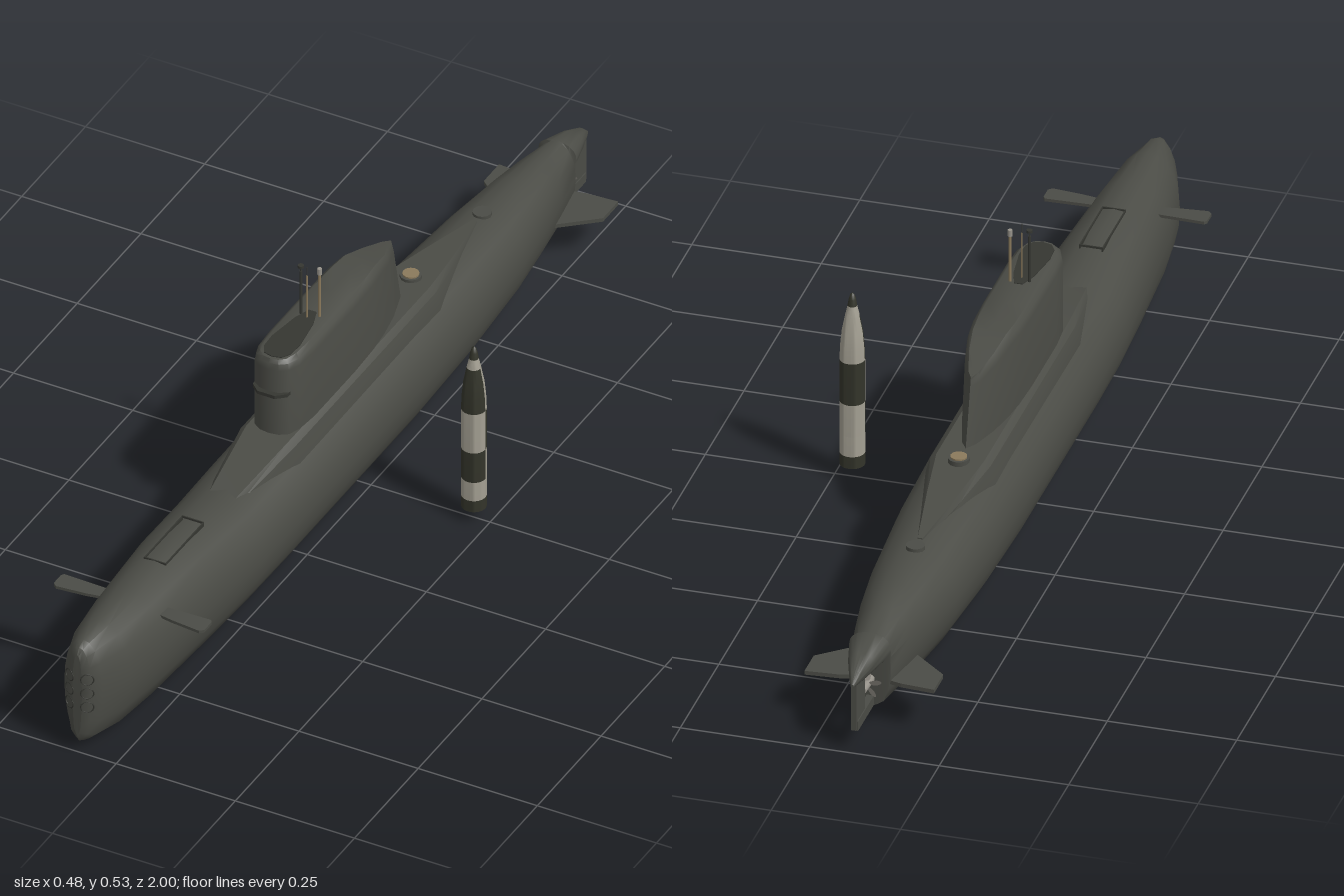
import * as THREE from 'three';
import { toCreasedNormals } from 'three/addons/utils/BufferGeometryUtils.js';

const mat = (name, color, side = THREE.FrontSide) => {
  const m = new THREE.MeshStandardMaterial({ color, side });
  m.name = name;
  return m;
};
const V = (x, y, z) => new THREE.Vector3(x, y, z);

// Closes a half outline by mirroring it in x; the end points lie on the centre line
const mirrorRing = (half) => [...half, ...half.slice(1, -1).reverse().map((p) => V(-p.x, p.y, p.z))];

// Skins a list of equal rings, closes both ends and turns the faces outward
function loft(rings, crease = 0.7) {
  const n = rings[0].length, pts = rings.flat(), idx = [];
  for (let r = 0; r < rings.length - 1; r++)
    for (let i = 0; i < n; i++) {
      const a = r * n + i, b = r * n + (i + 1) % n;
      idx.push(a, b, b + n, a, b + n, a + n);
    }
  [0, rings.length - 1].forEach((r, end) => {
    const c = rings[r].reduce((s, p) => s.add(p), V(0, 0, 0)).divideScalar(n);
    pts.push(c);
    for (let i = 0; i < n; i++) {
      const a = r * n + i, b = r * n + (i + 1) % n;
      idx.push(pts.length - 1, end ? a : b, end ? b : a);
    }
  });
  let volume = 0;
  for (let i = 0; i < idx.length; i += 3)
    volume += pts[idx[i]].dot(V(0, 0, 0).crossVectors(pts[idx[i + 1]], pts[idx[i + 2]]));
  if (volume < 0) idx.reverse();
  const g = new THREE.BufferGeometry().setFromPoints(pts);
  g.setIndex(idx);
  return toCreasedNormals(g, crease);
}

// Flat plate drawn in (x, z), centred on height y
function plate(outline, y, thick) {
  const s = new THREE.Shape(outline.map(([x, z]) => new THREE.Vector2(x, -z)));
  const g = new THREE.ExtrudeGeometry(s, { depth: thick, bevelEnabled: false });
  return g.rotateX(-Math.PI / 2).translate(0, y - thick / 2, 0);
}

export function createModel() {
  const hullGrey = mat('hull grey', 0x4b4c46);
  const darkGrey = mat('dark grey', 0x353631);
  const bronze = mat('bronze', 0x8b7a5c);
  const metal = mat('propeller metal', 0x96928a, THREE.DoubleSide);
  const paleBand = mat('missile pale', 0xa39f92);
  const darkBand = mat('missile dark', 0x33342a);

  const model = new THREE.Group();
  const sub = new THREE.Group();
  sub.name = 'submarine';
  sub.position.x = -0.082;
  model.add(sub);
  const add = (name, geo, material, parent = sub) => {
    const m = new THREE.Mesh(geo, material);
    m.name = name;
    parent.add(m);
    return m;
  };

  // Hull: stations of [z, half width, bottom, top]
  const section = [[0, 0], [0.33, 0.04], [0.65, 0.095], [0.84, 0.24], [0.97, 0.4], [1, 0.55],
    [0.96, 0.69], [0.85, 0.81], [0.62, 0.92], [0.3, 0.985], [0, 1]];
  const stations = [[1, 0.01, 0.035, 0.22], [0.992, 0.026, 0.02, 0.232], [0.975, 0.04, 0.01, 0.239],
    [0.91, 0.063, 0.003, 0.242], [0.8, 0.078, 0, 0.242], [0.6, 0.093, 0, 0.24], [0.45, 0.1, 0, 0.225],
    [0.3, 0.1025, 0, 0.225], [-0.2, 0.1025, 0, 0.228], [-0.4, 0.098, 0.006, 0.224], [-0.6, 0.085, 0.016, 0.215],
    [-0.72, 0.07, 0.025, 0.21], [-0.8, 0.056, 0.03, 0.204], [-0.882, 0.04, 0.036, 0.194],
    [-0.885, 0.04, 0.13, 0.194], [-0.94, 0.026, 0.134, 0.18], [-0.98, 0.012, 0.136, 0.163], [-1, 0.003, 0.138, 0.145]];
  add('hull', loft(stations.map(([z, w, lo, hi]) =>
    mirrorRing(section.map(([u, v]) => V(u * w, lo + v * (hi - lo), z))))), hullGrey);

  // Raised deck casing under the sail: [z, half width, top]
  const casing = [[0.45, 0.03, 0.216], [0.42, 0.035, 0.224], [0.25, 0.058, 0.25], [-0.3, 0.058, 0.25],
    [-0.42, 0.036, 0.235], [-0.56, 0.006, 0.219]];
  add('deckCasing', loft(casing.map(([z, w, top]) => mirrorRing([V(0, 0.17, z), V(w * 1.22, 0.17, z),
    V(w * 1.15, top - 0.04, z), V(w, top - 0.01, z), V(w * 0.8, top, z), V(0, top, z)])), 0.5), hullGrey);

  // Sail with a raked trailing edge and a roof that falls away aft
  const plan = [[0, 0.25], [0.02, 0.247], [0.036, 0.236], [0.046, 0.21], [0.049, 0.16], [0.049, 0], [0.047, -0.08],
    [0.042, -0.13], [0.031, -0.19], [0.013, -0.25], [0, -0.27]];
  const sailRing = (y, sx, inset) => mirrorRing(plan.map(([x, z]) => {
    const rake = 1 - (y - 0.23) * 0.75;
    const zz = z < 0 ? z * rake : z - inset * (z / 0.25);
    const drop = Math.max(0, -0.11 - zz) * 0.27 * (y - 0.23) / 0.185;
    return V(x * sx, y - drop, zz);
  }));
  add('sail', loft([sailRing(0.23, 1, 0), sailRing(0.395, 1, 0), sailRing(0.408, 0.93, 0.002),
    sailRing(0.415, 0.76, 0.007), sailRing(0.4155, 0, 0.007)]), hullGrey);
  const well = [[0, 0.237], [0.018, 0.232], [0.028, 0.215], [0.03, 0.18], [0.02, 0.11], [0.008, 0.075]];
  add('bridgeWell', plate([...well, ...well.slice(1).reverse().map(([x, z]) => [-x, z])], 0.416, 0.002), darkGrey);
  add('sailFrontLedge', plate([[-0.039, 0.22], [-0.036, 0.243], [-0.018, 0.259], [0.018, 0.259],
    [0.036, 0.243], [0.039, 0.22]], 0.342, 0.007), darkGrey);

  // Masts
  const rod = (name, x, z, r, y0, y1, m) =>
    add(name, new THREE.CylinderGeometry(r, r, y1 - y0, 12).translate(x, (y0 + y1) / 2, z), m);
  rod('radarMast', -0.017, 0.09, 0.0028, 0.4, 0.512, darkGrey);
  rod('radarMastNeck', -0.017, 0.09, 0.0012, 0.51, 0.522, darkGrey);
  rod('radarDish', -0.017, 0.09, 0.006, 0.52, 0.525, darkGrey);
  rod('antennaMast', 0, 0.098, 0.0016, 0.4, 0.512, bronze);
  rod('antennaTip', 0, 0.098, 0.001, 0.51, 0.531, darkGrey);
  rod('periscope', 0.018, 0.082, 0.0028, 0.4, 0.512, bronze);
  rod('periscopeHead', 0.018, 0.082, 0.0045, 0.511, 0.524, metal);

  // Deck hatches
  rod('aftHatchRim', 0, -0.31, 0.021, 0.235, 0.256, hullGrey);
  rod('aftHatch', 0, -0.31, 0.016, 0.25, 0.259, bronze);
  rod('sternHatch', 0, -0.59, 0.018, 0.2, 0.221, hullGrey);
  for (const s of [-1, 1]) {
    add('loadingHatchSide', new THREE.BoxGeometry(0.0025, 0.008, 0.15).translate(s * 0.022, 0.237, 0.62), darkGrey);
    add('loadingHatchEnd', new THREE.BoxGeometry(0.045, 0.004, 0.0025).translate(0, 0.24, 0.62 + s * 0.074), darkGrey);
  }

  // Diving planes on both sides, and torpedo tube doors in the bow
  for (const s of [-1, 1]) {
    const side = (pts) => pts.map(([x, z]) => [s * x, z]);
    add('bowPlane', plate(side([[0.05, 0.765], [0.154, 0.762], [0.158, 0.768], [0.158, 0.796], [0.15, 0.803],
      [0.09, 0.797], [0.05, 0.79]]), 0.198, 0.006), hullGrey);
    add('sternPlane', plate(side([[0.02, -0.875], [0.06, -0.885], [0.125, -0.89], [0.125, -0.83], [0.05, -0.765],
      [0.02, -0.76]]), 0.091, 0.008), hullGrey);
    for (const y of [0.104, 0.135, 0.166]) {
      const door = add('torpedoDoor', new THREE.TorusGeometry(0.012, 0.0014, 6, 20), darkGrey);
      door.position.set(s * 0.0185, y, 0.9945);
      door.rotation.y = s * 0.5;
    }
  }

  // Rudder, skeg and propeller
  add('skeg', new THREE.BoxGeometry(0.014, 0.02, 0.12).translate(0, 0.05, -0.925), hullGrey);
  add('rudder', new THREE.BoxGeometry(0.01, 0.105, 0.055).translate(0, 0.095, -0.963), hullGrey);
  const propeller = new THREE.Group();
  propeller.name = 'propeller';
  propeller.position.set(0, 0.096, -0.908);
  sub.add(propeller);
  add('propellerHub', new THREE.CylinderGeometry(0.007, 0.009, 0.05, 12).rotateX(-Math.PI / 2), metal, propeller);
  for (let i = 0; i < 5; i++) {
    const blade = add('propellerBlade', new THREE.CircleGeometry(0.0125, 10).scale(0.75, 1, 1)
      .rotateY(0.6).translate(0, 0.018, 0), metal, propeller);
    blade.rotation.z = i * Math.PI * 2 / 5;
  }

  // Missile: bands of [profile points, front colour, back colour], split into half turns
  const missile = new THREE.Group();
  missile.name = 'missile';
  missile.position.x = 0.216;
  model.add(missile);
  const D = darkBand, P = paleBand;
  const bands = [
    [[[0, 0.028], [0.024, 0.028], [0.024, 0.053]], D, D],
    [[[0.024, 0.053], [0.024, 0.095]], P, P],
    [[[0.024, 0.095], [0.024, 0.162]], D, P],
    [[[0.024, 0.162], [0.024, 0.25]], P, D],
    [[[0.024, 0.25], [0.0228, 0.28], [0.0198, 0.31], [0.0135, 0.343]], D, P],
    [[[0.0135, 0.343], [0.009, 0.363]], P, P],
    [[[0.009, 0.363], [0.007, 0.376], [0.004, 0.386], [0, 0.39]], D, D]];
  for (const [profile, front, back] of bands) {
    const pts = profile.map(([x, y]) => new THREE.Vector2(x, y));
    [front, back].forEach((m, i) => add(i ? 'missileBandBack' : 'missileBandFront',
      toCreasedNormals(new THREE.LatheGeometry(pts, 16, -Math.PI / 2 + i * Math.PI, Math.PI), 0.7), m, missile));
  }
  return model;
}
